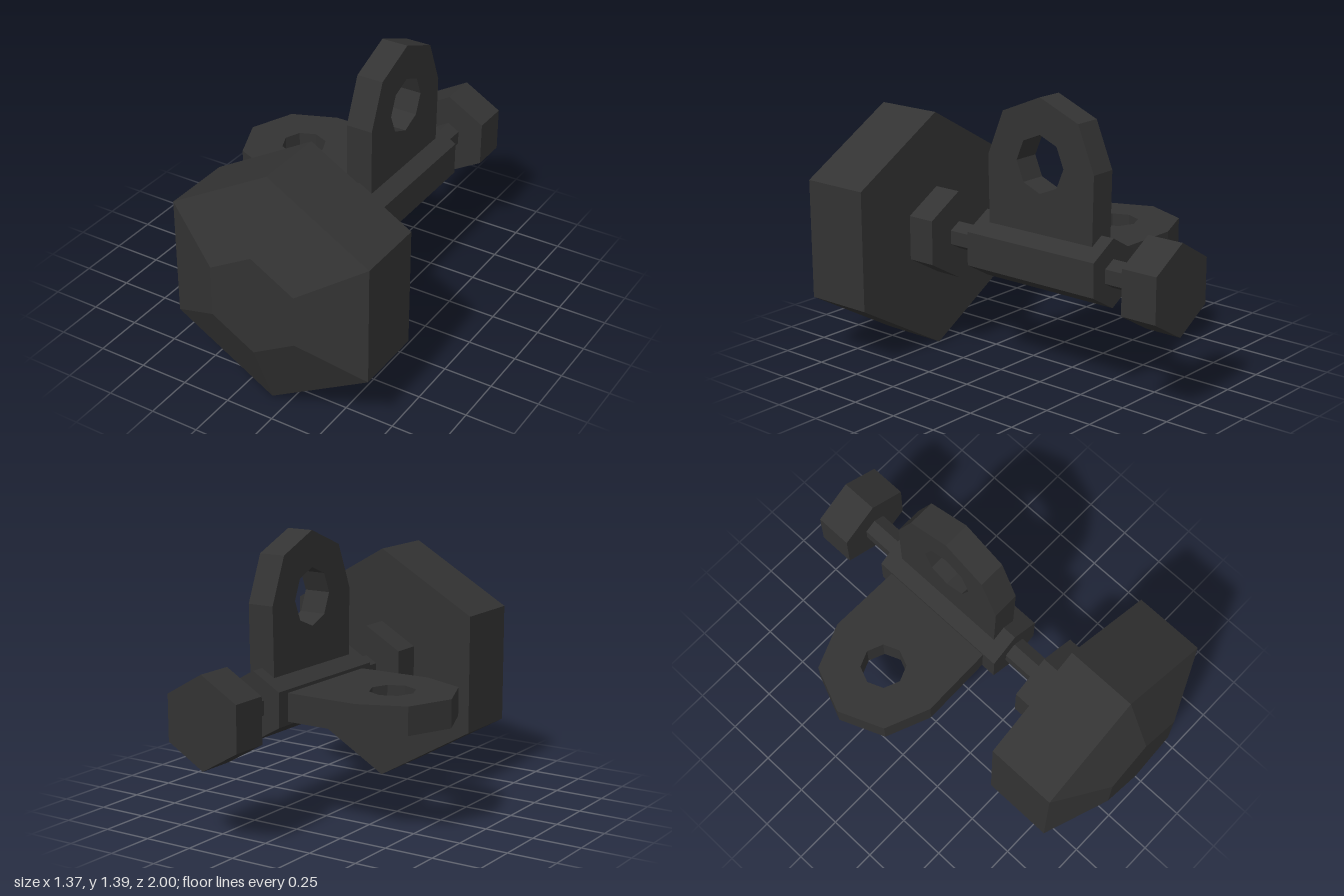
import * as THREE from 'three';

const AXIS_X = 0.16, AXIS_Y = 0.605;

export function createModel() {
  const model = new THREE.Group();
  const material = new THREE.MeshStandardMaterial({ color: 0x333333, flatShading: true });

  // Hexagonal prism or frustum lying along the z axis, corner up
  function hex(name, back, front, backRadius, frontRadius = backRadius) {
    const geometry = new THREE.CylinderGeometry(frontRadius, backRadius, front - back, 6);
    geometry.rotateX(Math.PI / 2);
    const mesh = new THREE.Mesh(geometry, material);
    mesh.name = name;
    mesh.position.set(AXIS_X, AXIS_Y, (back + front) / 2);
    model.add(mesh);
  }

  // Lug plate with a half-octagon end and an octagonal hole
  function lug(name, reach, holeRadius, roll) {
    const radius = 0.32, thickness = 0.138;
    const shape = new THREE.Shape();
    shape.moveTo(-0.312, 0);
    shape.lineTo(0.312, 0);
    for (let i = 0; i <= 4; i++) {
      const a = i * Math.PI / 4;
      shape.lineTo(radius * Math.cos(a), reach + radius * Math.sin(a));
    }
    shape.closePath();
    const hole = [];
    for (let i = 0; i < 8; i++) {
      const a = -i * Math.PI / 4;
      hole.push(new THREE.Vector2(holeRadius * Math.cos(a), reach + holeRadius * Math.sin(a)));
    }
    shape.holes.push(new THREE.Path(hole));
    const geometry = new THREE.ExtrudeGeometry(shape, { depth: thickness, bevelEnabled: false });
    geometry.translate(0, 0, -thickness / 2);
    geometry.rotateY(Math.PI / 2);
    const mesh = new THREE.Mesh(geometry, material);
    mesh.name = name;
    mesh.position.set(AXIS_X, AXIS_Y, -0.23);
    mesh.rotation.z = roll;
    model.add(mesh);
  }

  // Large hexagonal head with a chamfered front
  hex('headBody', 0.5, 0.86, 0.605);
  hex('headChamfer', 0.86, 1, 0.605, 0.257);

  // Collar, rod, barrel and end nut along one axis
  hex('frontCollar', 0.35, 0.5, 0.225);
  hex('rod', -0.82, 0.36, 0.07);
  hex('barrel', -0.615, 0.16, 0.17);
  hex('endNut', -1, -0.81, 0.225);

  // Upright lug and side lug on the barrel
  lug('topLug', 0.47, 0.142, 0);
  lug('sideLug', 0.525, 0.113, Math.PI / 2);

  return model;
}
